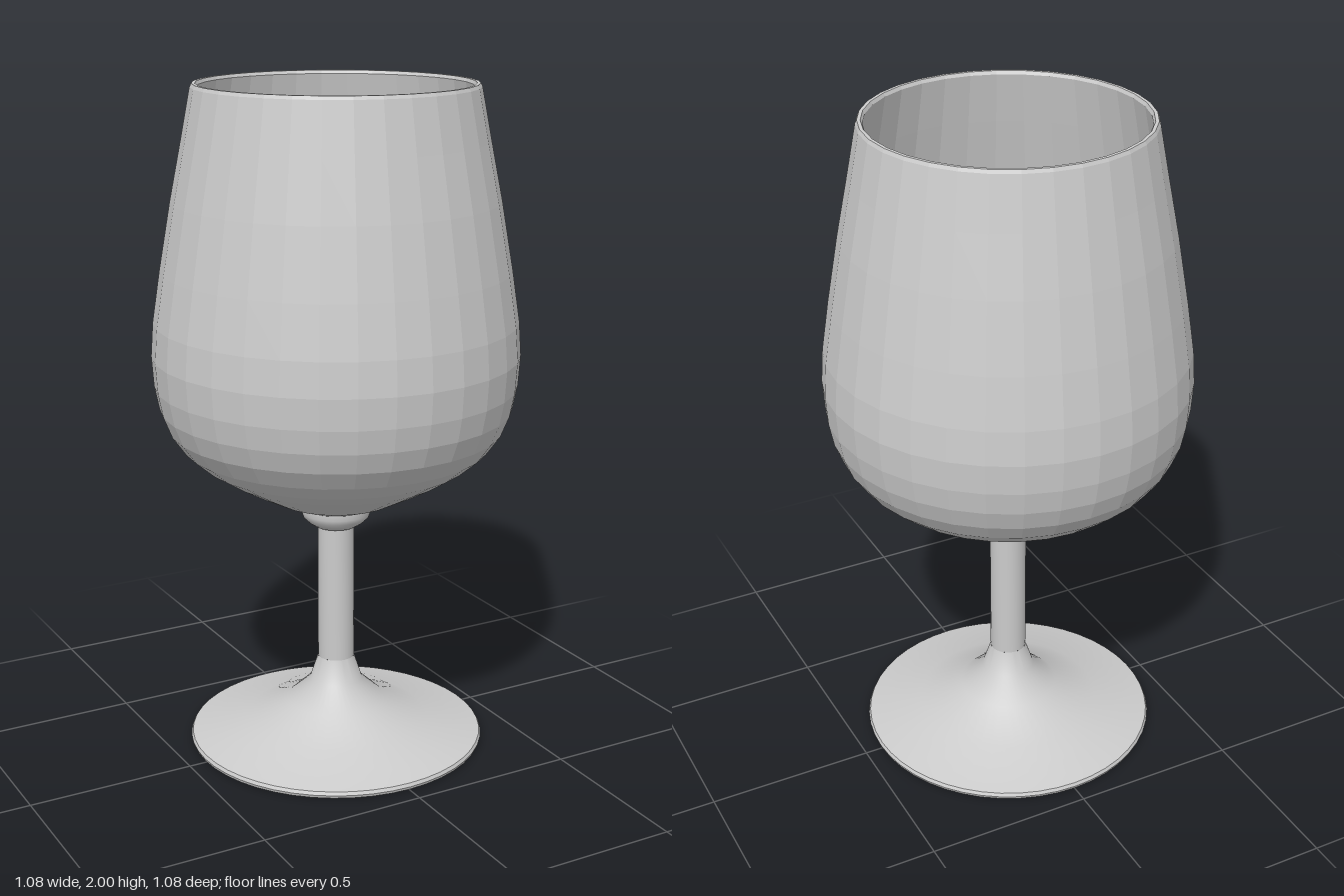
import * as THREE from 'three';
import { toCreasedNormals } from 'three/addons/utils/BufferGeometryUtils.js';

// Revolve a list of [radius, height] points into a named mesh
function turned(name, points, segments, flat) {
  const profile = points.map(([r, y]) => new THREE.Vector2(r, y));
  let geometry = new THREE.LatheGeometry(profile, segments);
  if (!flat) geometry = toCreasedNormals(geometry, THREE.MathUtils.degToRad(32));
  const material = new THREE.MeshStandardMaterial({ color: 0xcccccc, flatShading: flat });
  const mesh = new THREE.Mesh(geometry, material);
  mesh.name = name;
  return mesh;
}

export function createModel() {
  const group = new THREE.Group();
  group.name = 'wineGlass';

  // Faceted bowl: outer wall upwards, rounded lip, inner wall back down
  const outer = [
    [0, 0.735], [0.105, 0.743], [0.19, 0.776], [0.27, 0.818], [0.34, 0.857], [0.4, 0.895],
    [0.455, 0.942], [0.495, 0.998], [0.52, 1.06], [0.534, 1.13], [0.54, 1.22],
    [0.533, 1.32], [0.51, 1.47], [0.475, 1.67], [0.441, 1.84], [0.412, 1.99],
  ];
  const lip = [[0.407, 2], [0.397, 2], [0.392, 1.99]];
  const inner = [
    [0.421, 1.84], [0.455, 1.67], [0.49, 1.47], [0.513, 1.32], [0.52, 1.22], [0.514, 1.13],
    [0.5, 1.065], [0.477, 1.007], [0.44, 0.955], [0.388, 0.91], [0.33, 0.873],
    [0.27, 0.84], [0.21, 0.808], [0.14, 0.779], [0.07, 0.763], [0, 0.76],
  ];
  group.add(turned('bowl', [...outer, ...lip, ...inner], 32, true));

  // Collar between stem and bowl
  group.add(turned('collar', [
    [0.05, 0.68], [0.066, 0.685], [0.085, 0.698], [0.1, 0.713], [0.105, 0.727], [0.105, 0.743],
  ], 32, false));

  // Straight stem
  group.add(turned('stem', [[0.055, 0.26], [0.055, 0.69]], 32, false));

  // Flared foot with a thin rim and a slightly hollow underside
  group.add(turned('foot', [
    [0, 0.008], [0.25, 0.006], [0.43, 0], [0.447, 0.003], [0.45, 0.012], [0.445, 0.022],
    [0.28, 0.06], [0.15, 0.12], [0.08, 0.185], [0.055, 0.26],
  ], 48, false));

  return group;
}
